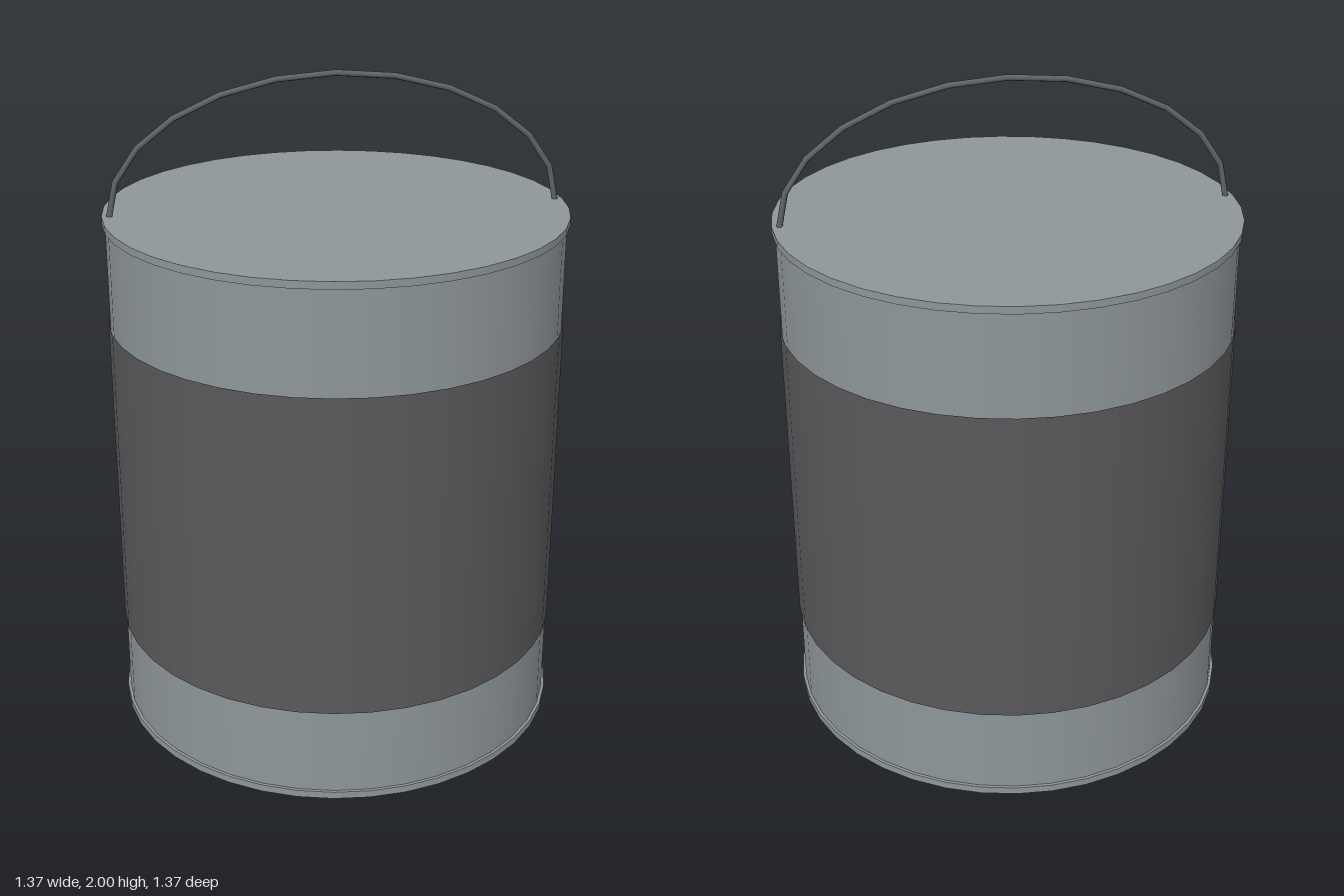
import * as THREE from 'three';

const SIDES = 40;

// Half-ellipse bail, sampled evenly by angle so its straight segments stay regular
class BailCurve extends THREE.Curve {
  getPoint(t, target = new THREE.Vector3()) {
    const a = Math.PI * t;
    return target.set(0.663 * Math.cos(a), 1.591 + 0.4 * Math.sin(a), 0);
  }
  getPointAt(t, target) { return this.getPoint(t, target); }
  getTangentAt(t, target) { return this.getTangent(t, target); }
}

export function createModel() {
  const group = new THREE.Group();
  const material = (name, color, side = THREE.FrontSide) =>
    new THREE.MeshStandardMaterial({ name, color, side });
  const metal = material('greyMetal', 0x8e969a);
  const paper = material('darkLabel', 0x59595b, THREE.DoubleSide);
  const wire = material('darkWire', 0x5e6367);

  // Upright cylinder between two heights
  const drum = (name, radius, y0, y1, mat, open = false) => {
    const geometry = new THREE.CylinderGeometry(radius, radius, y1 - y0, SIDES, 1, open);
    const mesh = new THREE.Mesh(geometry, mat);
    mesh.name = name;
    mesh.position.y = (y0 + y1) / 2;
    group.add(mesh);
  };

  drum('canBody', 0.676, 0.01, 1.585, metal);
  drum('wrapLabel', 0.681, 0.29, 1.27, paper, true);
  drum('bottomRim', 0.685, 0, 0.022, metal);
  drum('lid', 0.685, 1.573, 1.595, metal);

  // Wire carrying handle, its ends sunk into the lid
  const bail = new THREE.TubeGeometry(new BailCurve(), 12, 0.009, 8);
  bail.computeBoundingBox();
  const handle = new THREE.Mesh(bail, wire);
  handle.name = 'handle';
  group.add(handle);

  return group;
}
